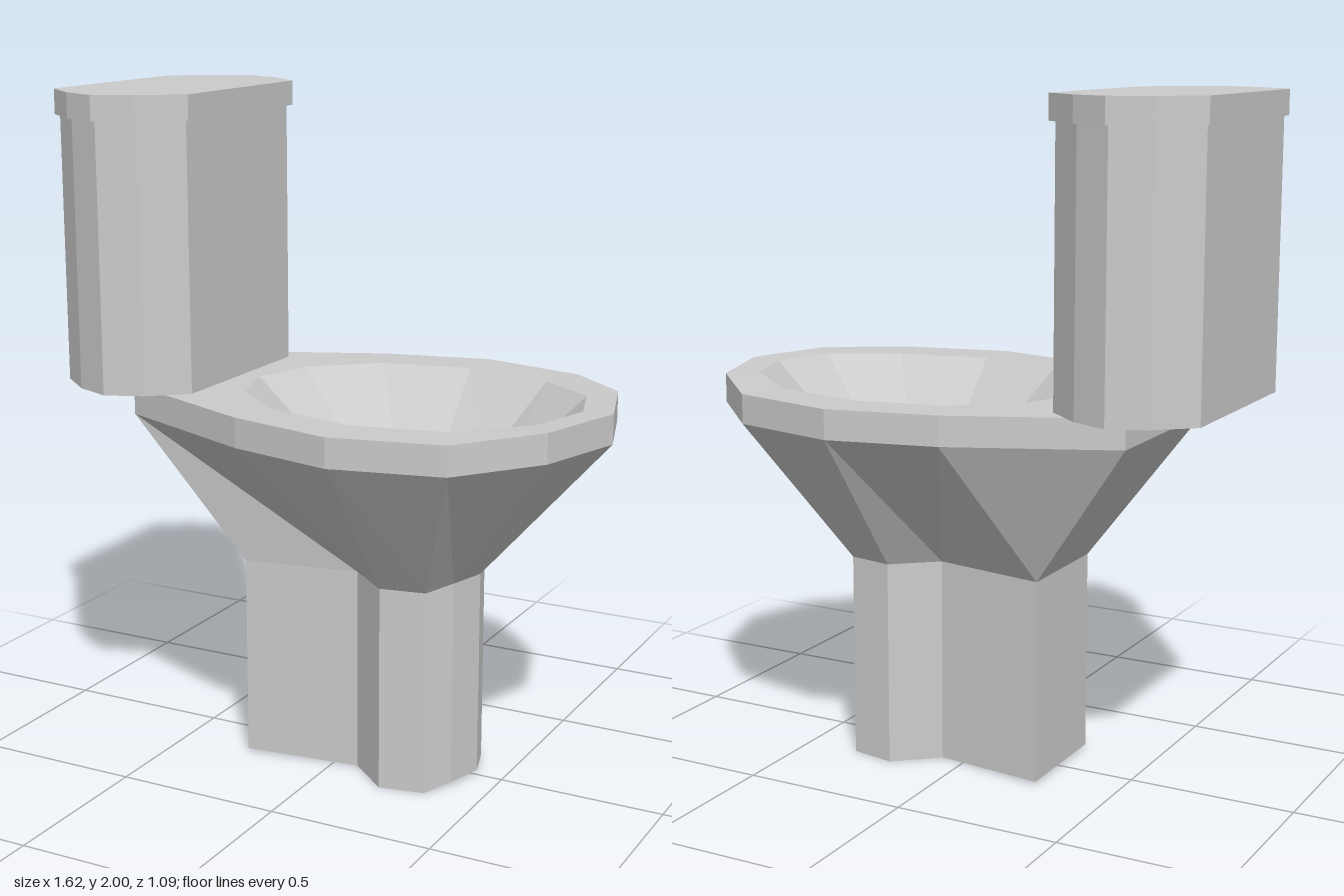
import * as THREE from 'three';

const material = new THREE.MeshStandardMaterial({ color: 0xcccccc, flatShading: true });

// Full ring at height y from a half outline of [x, z, lift], mirrored across z = 0
function ring(half, y) {
  const mirrored = half.slice(1, -1).reverse().map(([x, z, lift]) => [x, -z, lift]);
  return [...half, ...mirrored].map(([x, z, lift = 0]) => new THREE.Vector3(x, y + lift, z));
}

// Skin successive rings, optionally closing the first and last
function loft(name, rings, capStart = false, capEnd = false) {
  const pos = [];
  const tri = (...points) => points.forEach((p) => pos.push(p.x, p.y, p.z));
  const n = rings[0].length;
  for (let r = 0; r < rings.length - 1; r++) {
    const a = rings[r], b = rings[r + 1];
    for (let i = 0; i < n; i++) {
      const j = (i + 1) % n;
      tri(a[i], b[i], b[j]);
      tri(a[i], b[j], a[j]);
    }
  }
  const cap = (loop, flip) => {
    const c = loop.reduce((s, p) => s.add(p), new THREE.Vector3()).divideScalar(n);
    loop.forEach((p, i) => {
      const q = loop[(i + 1) % n];
      if (flip) tri(c, q, p);
      else tri(c, p, q);
    });
  };
  if (capStart) cap(rings[0], false);
  if (capEnd) cap(rings[rings.length - 1], true);
  const geometry = new THREE.BufferGeometry();
  geometry.setAttribute('position', new THREE.Float32BufferAttribute(pos, 3));
  geometry.computeVertexNormals();
  const mesh = new THREE.Mesh(geometry, material);
  mesh.name = name;
  return mesh;
}

export function createModel() {
  const group = new THREE.Group();
  group.name = 'toilet';

  // Half outlines, from the bowl's tip round to the tank side
  const foot = [[0.42, 0, 0.015], [0.385, 0.11, 0.013], [0.335, 0.19], [0.2, 0.215],
    [0.075, 0.11], [-0.27, 0.17, 0.01], [-0.27, 0, 0.01]];
  const neck = [[0.42, 0, 0.015], [0.385, 0.11, 0.013], [0.335, 0.19], [0.2, 0.215],
    [0.075, 0.11], [-0.27, 0.17], [-0.27, 0]];
  const rim = [[0.81, 0, 0.014], [0.725, 0.27, 0.012], [0.525, 0.47], [0.2, 0.543],
    [-0.12, 0.47], [-0.585, 0.27], [-0.585, 0]];
  const hole = [[0.72, 0, 0.01], [0.66, 0.19, 0.008], [0.475, 0.34], [0.2, 0.4],
    [-0.07, 0.34], [-0.255, 0.185], [-0.315, 0]];
  const floor = [[0.475, 0], [0.44, 0.09], [0.355, 0.17], [0.2, 0.2],
    [0.06, 0.17], [-0.04, 0.09], [-0.07, 0]];

  // Pedestal, flared bowl, rim and inner basin share their rings
  group.add(
    loft('pedestal', [ring(foot, 0), ring(neck, 0.617)], true),
    loft('bowl', [ring(neck, 0.617), ring(rim, 1.055)]),
    loft('rim', [ring(rim, 1.055), ring(rim, 1.142), ring(hole, 1.142)]),
    loft('basin', [ring(hole, 1.142), ring(floor, 0.92)], false, true),
  );

  // Tank and its slightly larger lid
  const tank = [[-0.375, 0], [-0.375, 0.285], [-0.48, 0.375], [-0.59, 0.42],
    [-0.7, 0.375], [-0.805, 0.285], [-0.805, 0]];
  const lid = [[-0.36, 0], [-0.36, 0.297], [-0.477, 0.392], [-0.59, 0.44],
    [-0.703, 0.392], [-0.815, 0.297], [-0.815, 0]];
  group.add(
    loft('tank', [ring(tank, 1.142), ring(tank, 1.927)], true, true),
    loft('tankLid', [ring(lid, 1.927), ring(lid, 2)], true, true),
  );
  return group;
}
